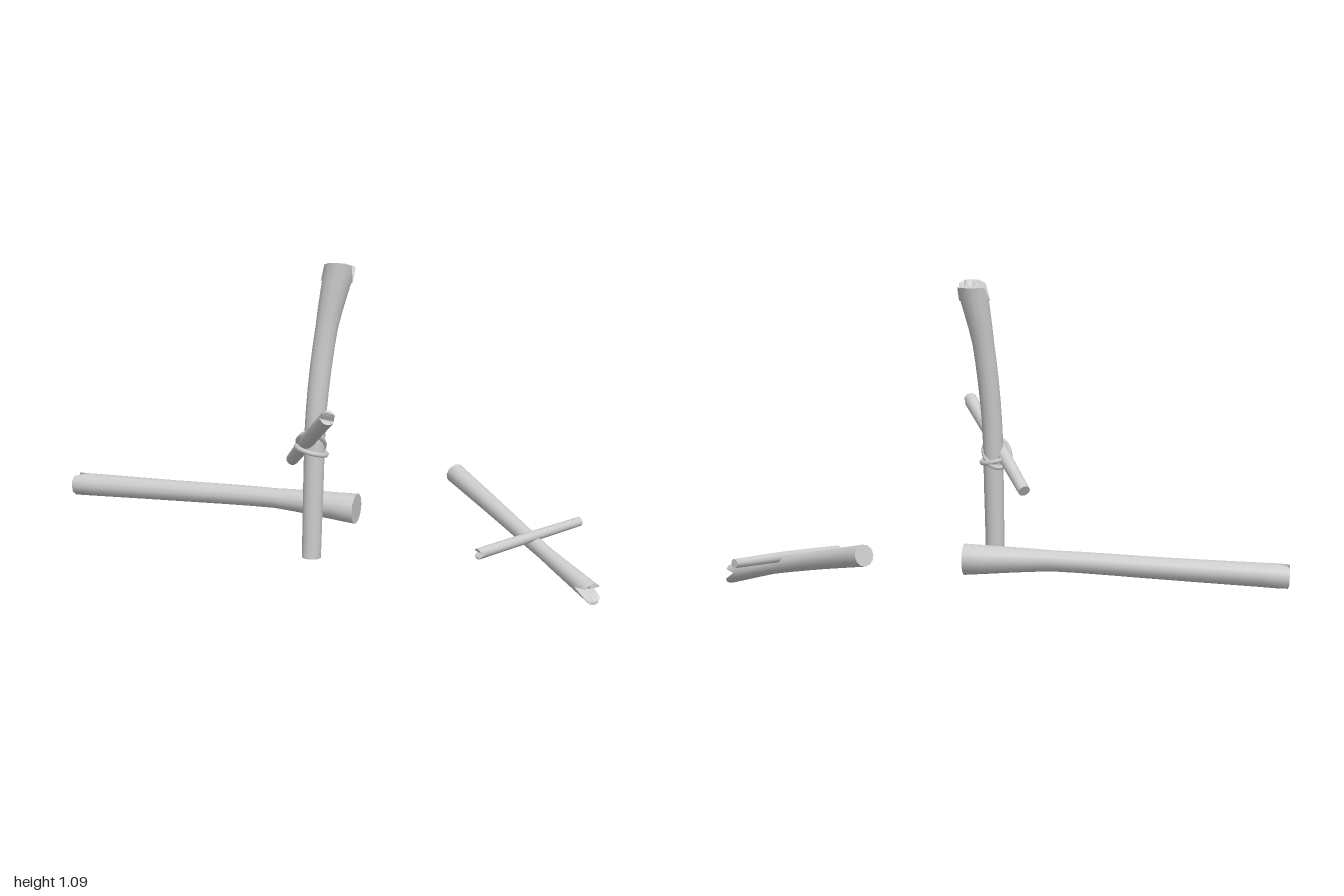
import * as THREE from 'three';
import { mergeGeometries } from 'three/addons/utils/BufferGeometryUtils.js';

const SIDES = 12;
const material = new THREE.MeshStandardMaterial({ color: 0xcccccc });

function build(positions, index) {
  const g = new THREE.BufferGeometry();
  g.setAttribute('position', new THREE.Float32BufferAttribute(positions, 3));
  g.setIndex(index);
  return g;
}

// stations: [x, y, z, radius]; the last end carries a V-notch running along `groove`
function log(name, stations, { groove, notch = 0, endNormal, gap = 0.55 }) {
  const curve = new THREE.CatmullRomCurve3(stations.map(s => new THREE.Vector3(s[0], s[1], s[2])));
  const spans = stations.length - 1, steps = spans * 4;
  const G0 = new THREE.Vector3(...groove);

  // point on the section at t, at angle a and fraction f of the radius
  function point(t, a, f, isEnd) {
    const T = curve.getTangent(t).normalize();
    const G = G0.clone().addScaledVector(T, -G0.dot(T)).normalize();
    const U = T.clone().cross(G);
    const i = Math.min(spans - 1, Math.floor(t * spans)), k = t * spans - i;
    const r = THREE.MathUtils.lerp(stations[i][3], stations[i + 1][3], k) * f;
    const p = G.multiplyScalar(r * Math.cos(a)).addScaledVector(U, r * Math.sin(a));
    if (isEnd) {
      // slanted cut, then the notch
      if (endNormal) {
        const N = new THREE.Vector3(...endNormal);
        p.addScaledVector(T, -p.dot(N) / T.dot(N));
      }
      const u = Math.abs(f * Math.sin(a));
      p.addScaledVector(T, -notch * Math.max(0, 1 - u / gap));
    }
    return p.add(curve.getPoint(t));
  }

  // grid of rings, wrapped around
  function rings(list) {
    const pos = [], index = [];
    list.forEach(([t, f, isEnd], j) => {
      for (let i = 0; i < SIDES; i++) {
        pos.push(...point(t, i / SIDES * Math.PI * 2, f, isEnd).toArray());
        if (j === list.length - 1) continue;
        const a = j * SIDES + i, b = j * SIDES + (i + 1) % SIDES;
        index.push(a, b, b + SIDES, a, b + SIDES, a + SIDES);
      }
    });
    return build(pos, index);
  }

  const side = rings(Array.from({ length: steps + 1 }, (_, j) => [j / steps, 1, j === steps])).toNonIndexed();
  const smooth = rings(Array.from({ length: steps + 1 }, (_, j) => [j / steps, 1, false]));
  smooth.computeVertexNormals();
  side.setAttribute('normal', smooth.toNonIndexed().getAttribute('normal'));
  const start = rings([[0, 0.001, false], [0, 1, false]]).toNonIndexed();
  const end = rings([[1, 1, true], [1, 0.7, true], [1, 0.35, true], [1, 0.001, true]]).toNonIndexed();
  start.computeVertexNormals();
  end.computeVertexNormals();

  const mesh = new THREE.Mesh(mergeGeometries([side, start, end]), material);
  mesh.name = name;
  return mesh;
}

// closed cord loop spanned by two half-axes
function cordLoop(name, centre, a, b) {
  const c = new THREE.Vector3(...centre), A = new THREE.Vector3(...a), B = new THREE.Vector3(...b);
  const pts = Array.from({ length: 10 }, (_, i) => {
    const w = i / 10 * Math.PI * 2;
    return c.clone().addScaledVector(A, Math.cos(w)).addScaledVector(B, Math.sin(w));
  });
  const mesh = new THREE.Mesh(
    new THREE.TubeGeometry(new THREE.CatmullRomCurve3(pts, true), 28, 0.009, 6, true), material);
  mesh.name = name;
  return mesh;
}

export function createModel() {
  const model = new THREE.Group();
  model.name = 'brokenWoodenPosts';

  // Standing post with its tied crossbar
  const post = new THREE.Group();
  post.name = 'standingPost';
  post.add(
    log('post', [
      [0.033, 0.10, 0.206, 0.033], [0.036, 0.35, 0.192, 0.035], [0.042, 0.61, 0.175, 0.036],
      [0.068, 0.88, 0.143, 0.038], [0.106, 1.085, 0.115, 0.053],
    ], { groove: [1, 0, 0], notch: 0.06, endNormal: [0, 1, -0.25] }),
    log('crossbar', [[-0.087, 0.382, 0.028, 0.021], [0.02, 0.505, 0.21, 0.025], [0.151, 0.65, 0.422, 0.025]],
      { groove: [1, 0, 0], notch: 0.025 }),
    cordLoop('levelBinding', [0.028, 0.468, 0.188], [0.05, -0.012, 0], [0, 0.005, 0.045]),
    cordLoop('slantedBinding', [0.025, 0.49, 0.182], [0.046, 0.012, 0.008], [0, 0.046, 0.042]),
  );

  // Long fallen post
  const fallen = log('fallenPost', [
    [0.10, 0.172, -0.127, 0.054], [-0.2, 0.178, -0.148, 0.036],
    [-0.6, 0.165, -0.172, 0.038], [-0.985, 0.153, -0.19, 0.042],
  ], { groove: [0, 1, 0], notch: 0.045 });

  // Fallen pair of crossed sticks
  const crossed = new THREE.Group();
  crossed.name = 'fallenCross';
  crossed.add(
    log('fallenCrossPost', [
      [0.388, 0.24, -0.424, 0.036], [0.575, 0.18, -0.235, 0.031],
      [0.78, 0.11, -0.03, 0.026], [0.975, 0.042, 0.146, 0.034],
    ], { groove: [0.7, 0, -0.7], notch: 0.06, endNormal: [0.7, 0.1, 0.68] }),
    log('fallenCrossbar', [[0.867, 0.161, -0.235, 0.016], [0.735, 0.152, -0.06, 0.018], [0.584, 0.137, 0.128, 0.019]],
      { groove: [0.78, 0, 0.62], notch: 0.015 }),
  );

  model.add(post, fallen, crossed);
  return model;
}
